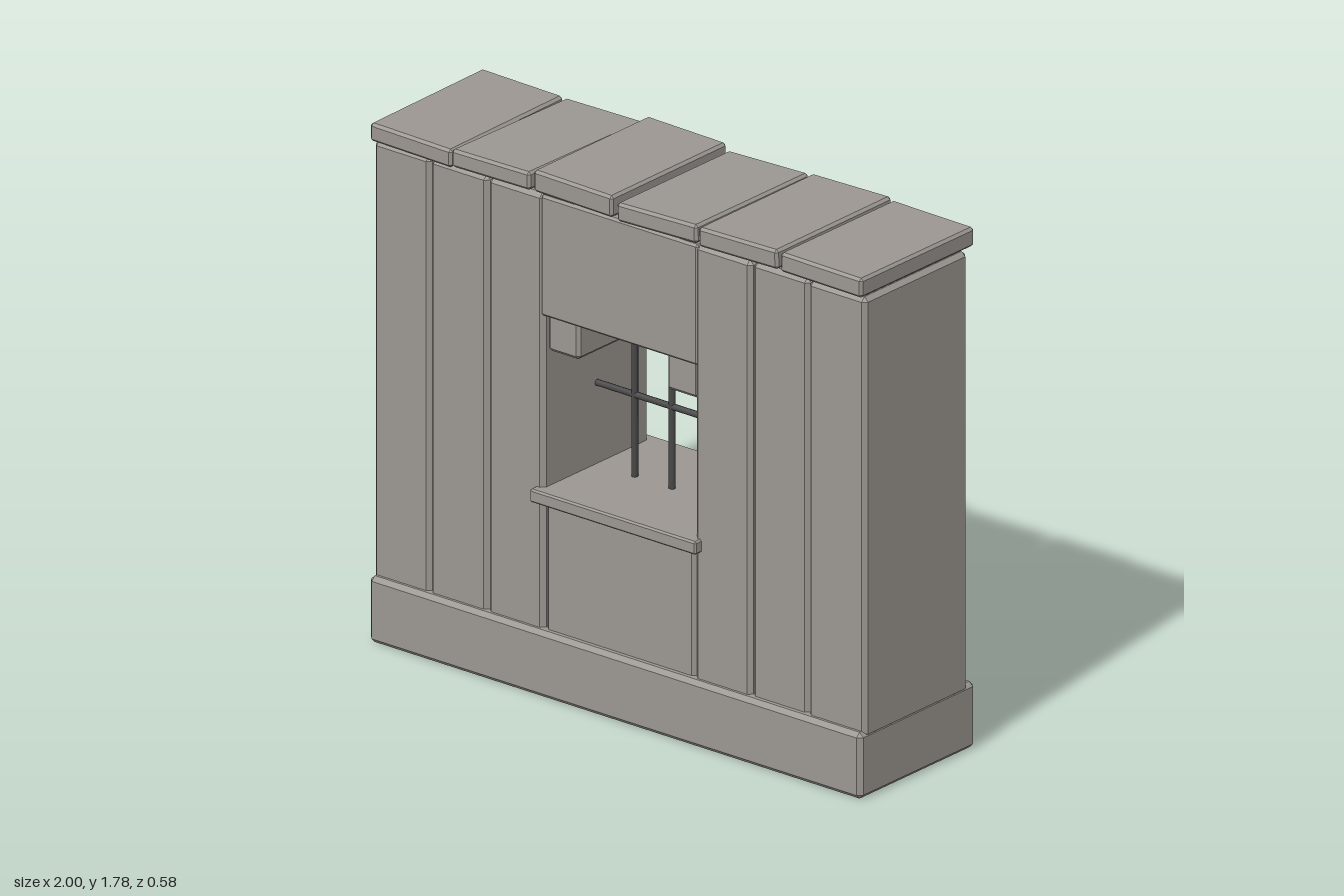
import * as THREE from 'three';
import { ConvexGeometry } from 'three/addons/geometries/ConvexGeometry.js';

const stone = new THREE.MeshStandardMaterial({ color: 0x9b9691 });
stone.name = 'warm grey stone';
const iron = new THREE.MeshStandardMaterial({ color: 0x484848 });
iron.name = 'dark iron';

// Box with chamfered edges, given by its limits on each axis
function block(name, [x0, x1], [y0, y1], [z0, z1], c = 0.012) {
  const half = [(x1 - x0) / 2, (y1 - y0) / 2, (z1 - z0) / 2];
  const points = [];
  for (const sx of [-1, 1]) for (const sy of [-1, 1]) for (const sz of [-1, 1]) {
    for (let full = 0; full < 3; full++) {
      const p = [sx, sy, sz].map((s, i) => s * (half[i] - (i === full ? 0 : c)));
      points.push(new THREE.Vector3(...p));
    }
  }
  const mesh = new THREE.Mesh(new ConvexGeometry(points), stone);
  mesh.position.set((x0 + x1) / 2, (y0 + y1) / 2, (z0 + z1) / 2);
  mesh.name = name;
  return mesh;
}

function bar(name, length, x, y, horizontal) {
  const mesh = new THREE.Mesh(new THREE.CylinderGeometry(0.011, 0.011, length, 8), iron);
  mesh.position.set(x, y, 0);
  if (horizontal) mesh.rotation.z = Math.PI / 2;
  mesh.name = name;
  return mesh;
}

export function createModel() {
  const wall = new THREE.Group();
  wall.name = 'windowWall';

  // Plinth along the bottom
  wall.add(block('plinth', [-1, 1], [0, 0.225], [-0.282, 0.284], 0.015));

  // Upright slabs either side of the window
  const slabs = [
    [-1, -0.77, -0.26, 0.26], [-0.77, -0.535, -0.255, 0.26], [-0.535, -0.308, -0.26, 0.26],
    [0.305, 0.535, -0.26, 0.26], [0.535, 0.765, -0.262, 0.255], [0.765, 1, -0.245, 0.26],
  ];
  for (const [x0, x1, z0, z1] of slabs) {
    wall.add(block('uprightSlab', [x0, x1], [0.2, 1.695], [z0, z1], 0.015));
  }

  // Window surround
  wall.add(block('lowerPanel', [-0.305, 0.305], [0.2, 0.66], [-0.255, 0.255], 0.015));
  wall.add(block('lintel', [-0.318, 0.322], [1.285, 1.695], [-0.263, 0.263], 0.008));
  wall.add(block('sill', [-0.34, 0.335], [0.655, 0.7], [-0.287, 0.29], 0.006));
  wall.add(block('leftCorbel', [0.175, 0.306], [1.16, 1.3], [-0.24, 0.24]));
  wall.add(block('rightCorbel', [-0.309, -0.18], [1.16, 1.3], [-0.24, 0.24]));

  // Window bars
  for (const x of [-0.152, 0, 0.152]) wall.add(bar('uprightBar', 0.6, x, 0.99, false));
  wall.add(bar('crossBar', 0.61, 0, 0.977, true));

  // Uneven coping stones: x limits, y limits, then tilt about x, y and z
  const copings = [
    [-1, -0.672, 1.698, 1.76, 0.005, 0.012, -0.022],
    [-0.665, -0.345, 1.7, 1.761, -0.008, -0.008, 0.018],
    [-0.333, -0.01, 1.706, 1.78, 0.008, -0.006, -0.012],
    [0.003, 0.327, 1.7, 1.763, -0.006, 0.01, 0.025],
    [0.338, 0.661, 1.706, 1.772, 0.008, -0.006, 0.025],
    [0.668, 0.998, 1.702, 1.768, -0.006, 0.008, -0.014],
  ];
  for (const [x0, x1, y0, y1, rx, ry, rz] of copings) {
    const coping = block('copingStone', [x0, x1], [y0, y1], [-0.28, 0.28], 0.009);
    coping.rotation.set(rx, ry, rz);
    wall.add(coping);
  }
  return wall;
}
